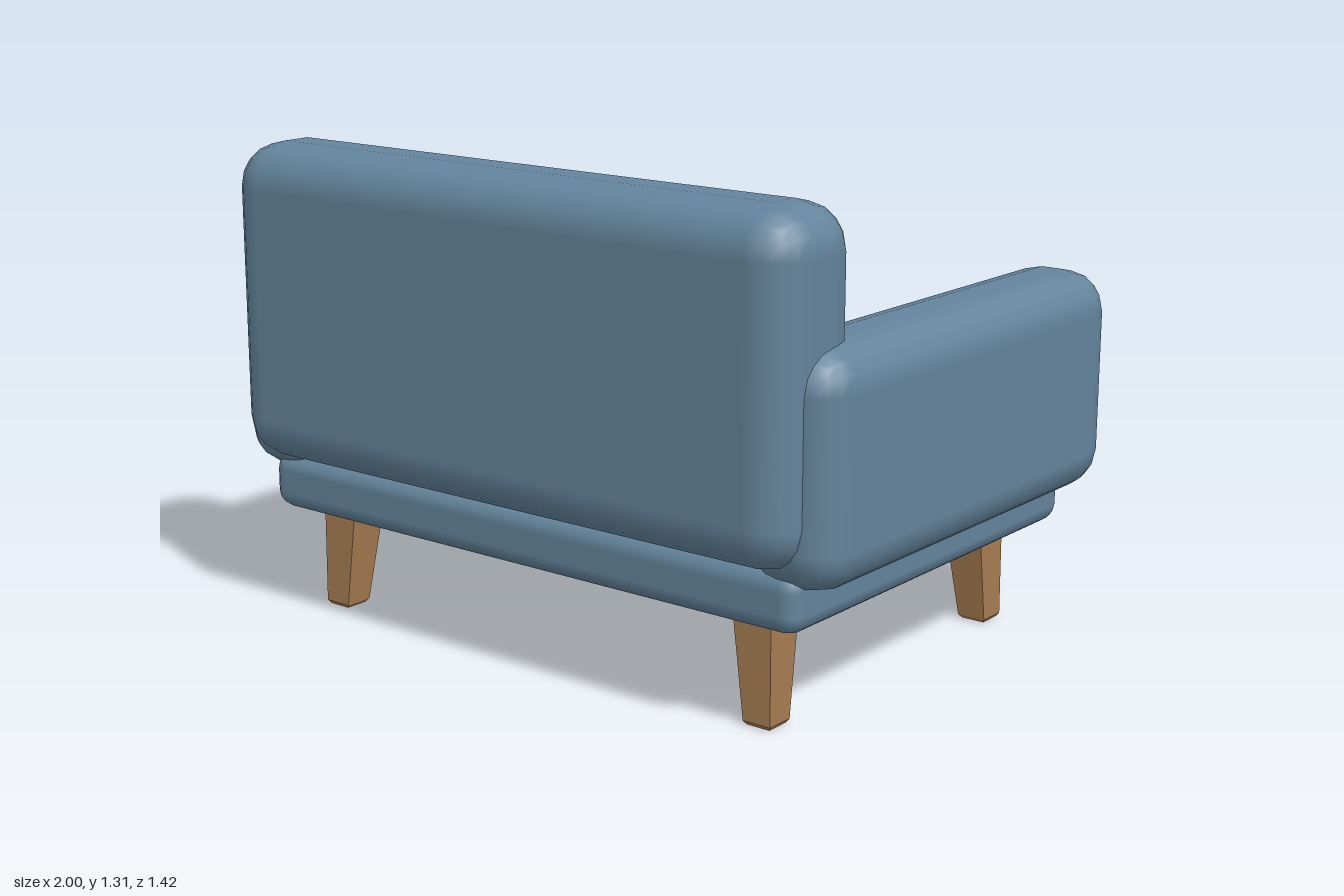
import * as THREE from 'three';
import { RoundedBoxGeometry } from 'three/addons/geometries/RoundedBoxGeometry.js';

const fabric = new THREE.MeshStandardMaterial({ color: 0x64849c });
const cushionFabric = new THREE.MeshStandardMaterial({ color: 0x8fa3ae });
const wood = new THREE.MeshStandardMaterial({ color: 0xa67c52, flatShading: true });

// Soft upholstered block spanning the given [min, max] ranges
function pad(name, material, [x0, x1], [y0, y1], [z0, z1], radius) {
  const geometry = new RoundedBoxGeometry(x1 - x0, y1 - y0, z1 - z0, 2, radius);
  const mesh = new THREE.Mesh(geometry, material);
  mesh.position.set((x0 + x1) / 2, (y0 + y1) / 2, (z0 + z1) / 2);
  mesh.name = name;
  return mesh;
}

// Square tapered leg, leaning outwards, with a small chamfer at the foot
function leg(name, sx, sz) {
  const rows = [
    { y: 0, half: 0.034 },
    { y: 0.01, half: 0.041 },
    { y: 0.31, half: 0.059 },
  ];
  const geometry = new THREE.BoxGeometry(2, 2, 2, 1, 2, 1);
  const p = geometry.attributes.position;
  for (let i = 0; i < p.count; i++) {
    const { y, half } = rows[Math.round(p.getY(i)) + 1];
    const lean = y / 0.31;
    p.setXYZ(i,
      sx * (0.726 - 0.02 * lean) + p.getX(i) * half,
      y,
      -0.01 + sz * (0.5 - 0.02 * lean) + p.getZ(i) * half);
  }
  geometry.computeVertexNormals();
  const mesh = new THREE.Mesh(geometry, wood);
  mesh.name = name;
  return mesh;
}

export function createModel() {
  const group = new THREE.Group();
  group.name = 'armchair';

  // Frame and cushions
  group.add(
    pad('base', fabric, [-0.89, 0.89], [0.28, 0.44], [-0.65, 0.61], 0.05),
    pad('backrest', fabric, [-0.925, 0.925], [0.44, 1.31], [0.39, 0.71], 0.12),
    pad('seatCushion', cushionFabric, [-0.725, 0.725], [0.43, 0.66], [-0.65, 0.42], 0.065),
  );

  // Back cushion leaning against the backrest
  const backCushion = pad('backCushion', cushionFabric, [-0.725, 0.725], [0.616, 1.256], [0.233, 0.453], 0.065);
  backCushion.rotation.x = 0.14;
  group.add(backCushion);

  // Arms and legs, mirrored
  for (const [side, sx] of [['left', 1], ['right', -1]]) {
    const arm = pad(side + 'Arm', fabric, [0.72, 1], [0.388, 0.985], [-0.71, 0.63], 0.11);
    arm.position.x *= sx;
    group.add(arm, leg(side + 'FrontLeg', sx, -1), leg(side + 'BackLeg', sx, 1));
  }
  return group;
}
